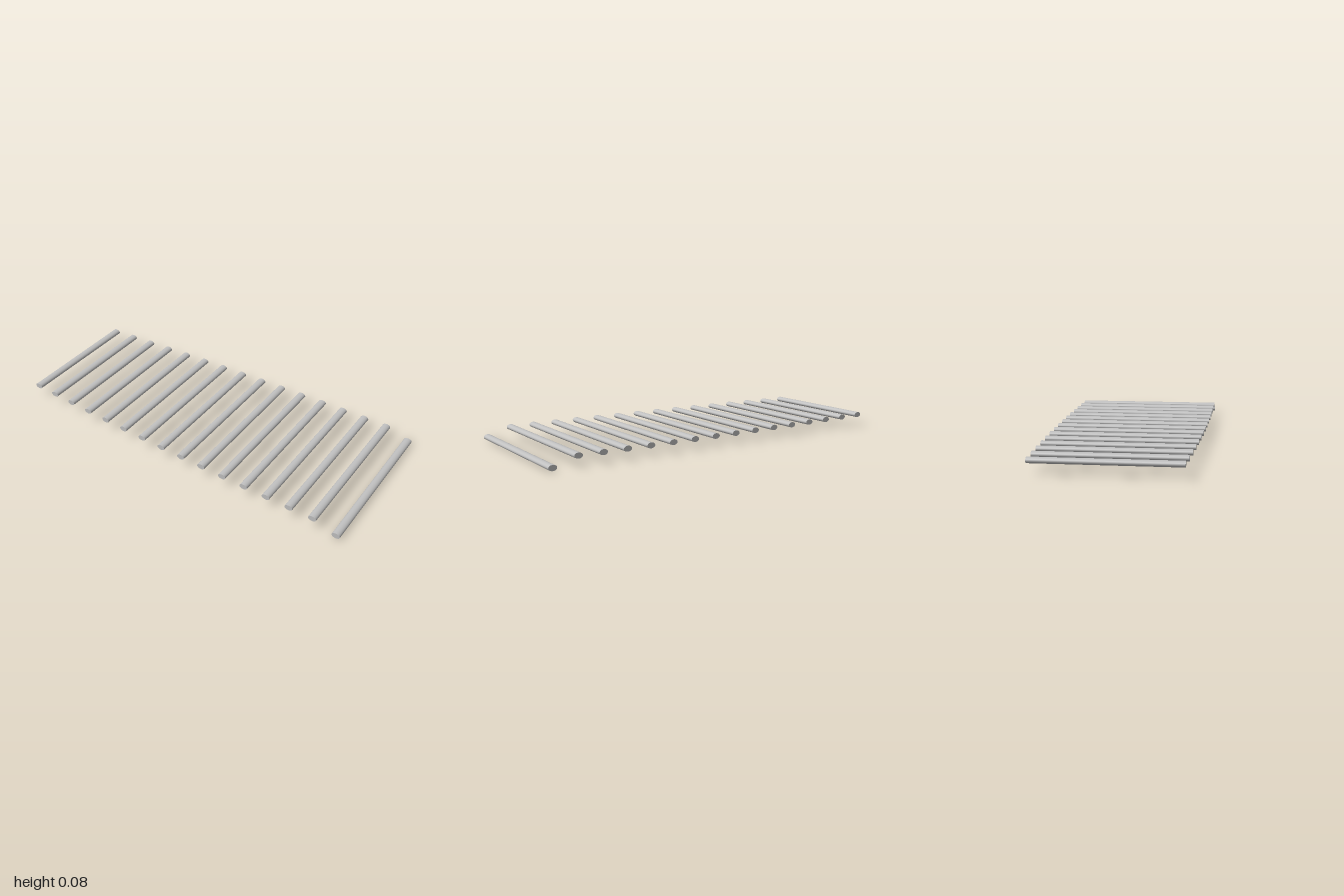
import * as THREE from 'three';

// A row of sixteen oval crossbars that shorten and rise gently toward one end.
export function createModel() {
  const model = new THREE.Group();
  model.name = 'crossbarRow';
  const metal = new THREE.MeshStandardMaterial({ color: 0xc0c0c0 });
  metal.name = 'light grey metal';

  const count = 16;
  const radiusX = 0.022, radiusY = 0.0147;
  const endX = 1 - radiusX;

  // Capped bar along z with an oval section
  const bar = new THREE.CylinderGeometry(1, 1, 1, 32);
  bar.rotateX(Math.PI / 2);

  for (let i = 0; i < count; i++) {
    const t = i / (count - 1); // 0 at the low, long end
    const halfLength = 0.427 - 0.07 * t * t;
    const mesh = new THREE.Mesh(bar, metal);
    mesh.name = `crossbar${i + 1}`;
    mesh.scale.set(radiusX, radiusY, halfLength * 2);
    // The end bar sits on the ground, the others float just above it
    const y = i === 0 ? radiusY : 0.056 + 0.012 * t;
    mesh.position.set(endX - 2 * endX * t, y, 0);
    model.add(mesh);
  }
  return model;
}
